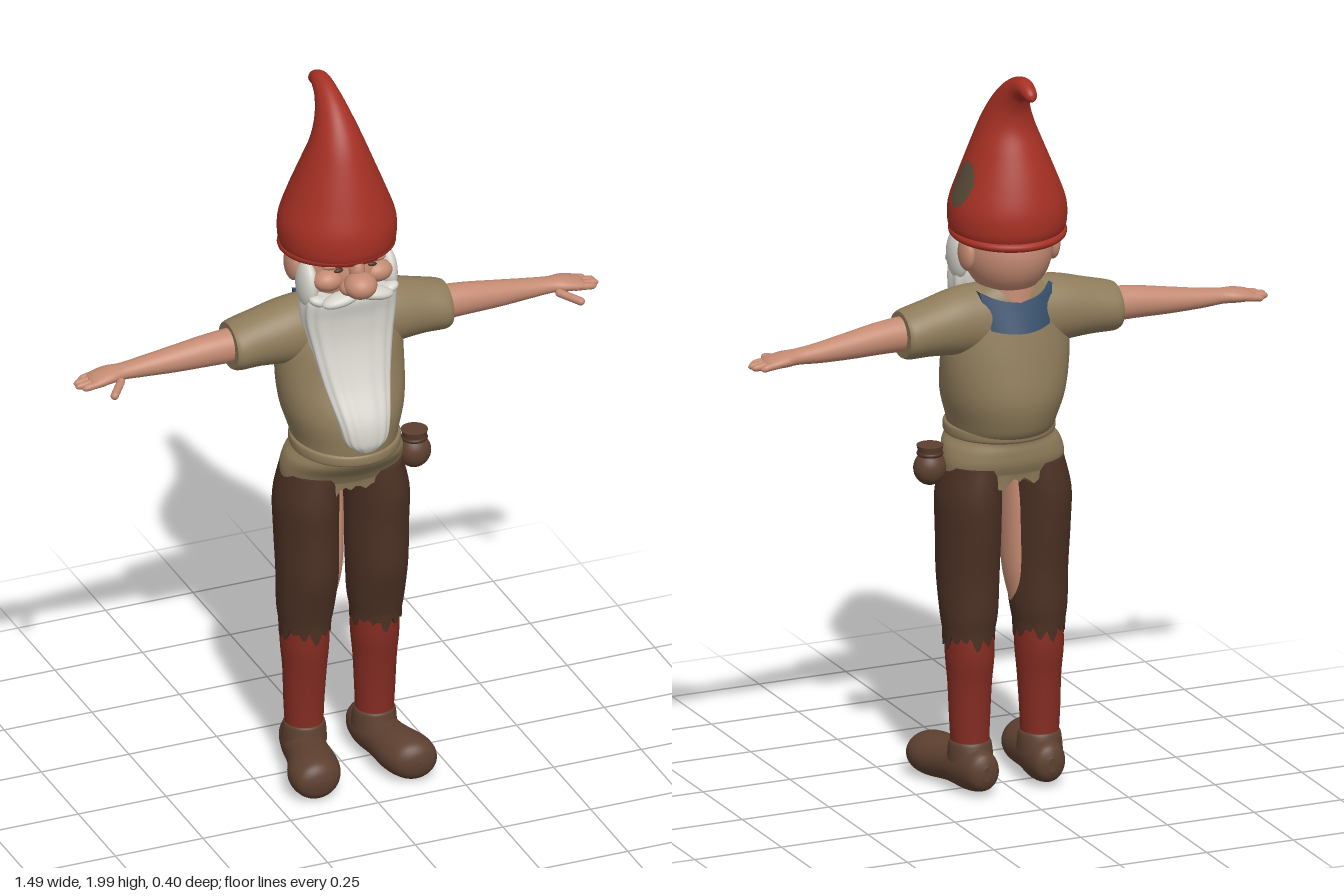
import * as THREE from 'three';

const material = (name, color) => {
  const m = new THREE.MeshStandardMaterial({ color });
  m.name = name;
  return m;
};

// Smooth skin through elliptical rings [y, cx, cz, rx, rz, tilt]; jag makes a ragged lower hem.
function loft(rings, { segs = 40, sub = 5, jag = 0, power = 1, wave = 0 } = {}) {
  const rows = (rings.length - 1) * sub;
  const tracks = [0, 1, 2, 3, 4, 5].map(c =>
    new THREE.SplineCurve(rings.map((r, i) => new THREE.Vector2(i, r[c] ?? 0))));
  const pos = [], index = [];
  const bend = v => Math.sign(v) * Math.abs(v) ** power;
  for (let i = 0; i <= rows; i++) {
    const [y, cx, cz, rx, rz, tilt] = tracks.map(t => t.getPoint(i / rows).y);
    for (let j = 0; j < segs; j++) {
      const a = j / segs * Math.PI * 2, w = 1 + wave * Math.sin(a * 14);
      const x = bend(Math.cos(a)) * rx * w, z = bend(Math.sin(a)) * rz * w;
      const drop = i === 0 ? jag * Math.abs(Math.sin(j * 0.9) + 0.5 * Math.sin(j * 0.37)) : 0;
      pos.push(cx + x, y - z * Math.sin(tilt) - drop, cz + z * Math.cos(tilt));
    }
  }
  for (let i = 0; i < rows; i++) for (let j = 0; j < segs; j++) {
    const k = (j + 1) % segs, a = i * segs + j, b = i * segs + k;
    index.push(a, a + segs, b, b, a + segs, b + segs);
  }
  // End caps with their own rims, so the edges stay crisp
  for (const row of [0, rows]) {
    const base = pos.length / 3, mid = [0, 0, 0];
    for (let j = 0; j < segs; j++) for (let c = 0; c < 3; c++) {
      const v = pos[(row * segs + j) * 3 + c];
      pos.push(v);
      mid[c] += v / segs;
    }
    pos.push(...mid);
    for (let j = 0; j < segs; j++) {
      const k = (j + 1) % segs;
      if (row === 0) index.push(base + segs, base + j, base + k);
      else index.push(base + segs, base + k, base + j);
    }
  }
  const g = new THREE.BufferGeometry();
  g.setAttribute('position', new THREE.Float32BufferAttribute(pos, 3));
  g.setIndex(index);
  g.computeVertexNormals();
  return g;
}

// Lofts lying along x [x, height, z, ry, rz] and along z [z, x, height, rx, ry]
const loftX = (rings, o) => loft(rings.map(([x, h, z, a, b]) => [x, -h, z, a, b]), o).rotateZ(-Math.PI / 2);
const loftZ = (rings, o) => loft(rings.map(([z, x, h, a, b]) => [z, x, -h, a, b]), o).rotateX(Math.PI / 2);

const blob = (x, y, z, rx, ry, rz, turn = 0) =>
  new THREE.SphereGeometry(1, 28, 20).scale(rx, ry, rz).rotateZ(turn).translate(x, y, z);

function mirrored(geometry) {
  const g = geometry.clone().scale(-1, 1, 1), ix = g.index.array;
  for (let i = 0; i < ix.length; i += 3) [ix[i], ix[i + 1]] = [ix[i + 1], ix[i]];
  g.computeVertexNormals();
  return g;
}

export function createModel() {
  const red = material('hat red', 0xa63024), sock = material('sock red', 0x842c22);
  const patch = material('patch olive', 0x594b38), tan = material('tunic tan', 0x8f7c5b);
  const skin = material('skin', 0xc48a72), white = material('beard white', 0xd6d4cc);
  const brown = material('trouser brown', 0x4c3124), leather = material('leather brown', 0x5d4030);
  const blue = material('collar blue', 0x38506c);

  const model = new THREE.Group();
  model.name = 'gnome';
  const add = (name, geometry, mat) => {
    const mesh = new THREE.Mesh(geometry, mat);
    mesh.name = name;
    model.add(mesh);
    return mesh;
  };
  const pair = (name, geometry, mat) => {
    add('left ' + name, geometry, mat);
    add('right ' + name, mirrored(geometry), mat);
  };

  // Pointed hat with a curled tip and a patch on its left side
  const hat = loft([
    [1.545, 0, -0.03, 0.147, 0.147], [1.575, 0, -0.03, 0.157, 0.158], [1.63, 0, -0.03, 0.155, 0.157],
    [1.70, 0, -0.03, 0.13, 0.137], [1.78, 0, -0.03, 0.098, 0.108, -0.05], [1.85, 0, -0.035, 0.07, 0.08, -0.2],
    [1.91, 0, -0.062, 0.047, 0.056, -0.55], [1.953, 0, -0.102, 0.032, 0.037, -0.95],
    [1.971, 0, -0.142, 0.025, 0.026, -1.4], [1.965, 0, -0.172, 0.02, 0.02, -1.8],
    [1.956, 0, -0.188, 0.014, 0.014, -2.0], [1.951, 0, -0.196, 0.002, 0.002, -2.0],
  ], { segs: 80, sub: 7 });
  const p = hat.attributes.position, plain = [], patched = [];
  for (let i = 0; i < hat.index.count; i += 3) {
    const t = [0, 1, 2].map(k => hat.index.getX(i + k));
    const [x, y, z] = ['getX', 'getY', 'getZ'].map(f => t.reduce((s, v) => s + p[f](v) / 3, 0));
    const inside = x > 0.03 && ((z + 0.035) / 0.045) ** 2 + ((y - 1.69) / 0.06) ** 2 < 1;
    (inside ? patched : plain).push(...t);
  }
  hat.setIndex([...plain, ...patched]);
  hat.addGroup(0, plain.length, 0);
  hat.addGroup(plain.length, patched.length, 1);
  add('hat', hat, [red, patch]);
  add('hat brim', new THREE.TorusGeometry(0.145, 0.012, 12, 64).rotateX(Math.PI / 2)
    .rotateX(-0.06).translate(0, 1.55, -0.033), red);

  // Head and face
  add('head', blob(0, 1.5, -0.025, 0.12, 0.13, 0.133), skin);
  add('neck', new THREE.CylinderGeometry(0.07, 0.08, 0.12, 32).translate(0, 1.39, -0.04), skin);
  add('nose', blob(0, 1.492, 0.128, 0.045, 0.036, 0.045), skin);
  add('nose bridge', blob(0, 1.525, 0.1, 0.022, 0.04, 0.03), skin);
  pair('nostril', blob(0.03, 1.484, 0.115, 0.022, 0.02, 0.025), skin);
  pair('cheek', blob(0.07, 1.497, 0.075, 0.042, 0.03, 0.035), skin);
  pair('eye', blob(0.048, 1.53, 0.096, 0.013, 0.006, 0.006, -0.1), brown);
  pair('brow', blob(0.055, 1.547, 0.083, 0.036, 0.013, 0.022, -0.15), skin);
  pair('ear', blob(0.122, 1.5, -0.042, 0.02, 0.048, 0.038), skin);

  // Beard, sideburns and moustache
  add('beard', loft([
    [1.022, 0, 0.168, 0.025, 0.02], [1.05, 0, 0.16, 0.058, 0.038], [1.11, 0, 0.14, 0.075, 0.05],
    [1.2, 0, 0.092, 0.096, 0.052], [1.3, 0, 0.062, 0.115, 0.05], [1.38, 0, 0.045, 0.13, 0.062],
    [1.435, 0, 0.045, 0.128, 0.07], [1.455, 0, 0.045, 0.11, 0.06],
  ], { segs: 84, power: 0.75, wave: 0.018 }), white);
  pair('sideburn', blob(0.113, 1.472, 0.035, 0.026, 0.068, 0.05), white);
  pair('moustache', blob(0.047, 1.452, 0.11, 0.055, 0.018, 0.03, -0.2), white);
  pair('moustache tip', blob(0.1, 1.443, 0.083, 0.028, 0.015, 0.022, 0.35), white);

  // Tunic with a ragged skirt, belt and short sleeves
  add('tunic', loft([
    [0.885, 0, -0.005, 0.166, 0.105], [0.92, 0, -0.002, 0.168, 0.122], [0.955, 0, 0.012, 0.16, 0.138],
    [0.985, 0, 0.02, 0.14, 0.145], [1.02, 0, 0.012, 0.143, 0.16], [1.1, 0, 0, 0.166, 0.167],
    [1.2, 0, -0.015, 0.176, 0.138], [1.3, 0, -0.02, 0.17, 0.112], [1.37, 0, -0.03, 0.14, 0.085],
    [1.41, 0, -0.038, 0.08, 0.062],
  ], { segs: 72, jag: 0.028 }), tan);
  add('belt', loft([
    [0.978, 0, 0.022, 0.142, 0.147, 0.03], [0.984, 0, 0.022, 0.147, 0.153, 0.03],
    [1.004, 0, 0.022, 0.147, 0.153, 0.03], [1.01, 0, 0.022, 0.142, 0.147, 0.03],
  ], { segs: 56, sub: 3 }), tan);
  pair('sleeve', loftX([
    [0.07, 1.31, -0.03, 0.1, 0.085], [0.15, 1.312, -0.03, 0.09, 0.084], [0.23, 1.305, -0.032, 0.076, 0.078],
    [0.29, 1.297, -0.032, 0.068, 0.076], [0.308, 1.296, -0.032, 0.062, 0.068],
  ]), tan);

  // Draped collar on the back, bowed round the shoulders
  const collar = new THREE.BoxGeometry(0.21, 0.11, 0.022, 16, 8, 1);
  const c = collar.attributes.position;
  for (let i = 0; i < c.count; i++) {
    const x = c.getX(i), h = c.getY(i) / 0.11 + 0.5, side = (x / 0.105) ** 2;
    c.setXYZ(i, x * (0.85 + 0.15 * h), 1.29 + h * (0.08 + 0.03 * side) + 0.012 * side * (1 - h),
      c.getZ(i) - 0.133 + 0.028 * h + 0.03 * side);
  }
  collar.computeVertexNormals();
  add('collar', collar, blue);

  // Arms and hands
  pair('arm', loftX([
    [0.24, 1.3, -0.03, 0.05, 0.047], [0.36, 1.296, -0.032, 0.044, 0.042], [0.46, 1.288, -0.036, 0.036, 0.036],
    [0.55, 1.282, -0.04, 0.027, 0.03], [0.61, 1.28, -0.04, 0.021, 0.028], [0.65, 1.278, -0.04, 0.02, 0.037],
    [0.69, 1.273, -0.038, 0.015, 0.037], [0.705, 1.27, -0.038, 0.008, 0.03],
  ]), skin);
  [[-0.065, 0.725], [-0.047, 0.743], [-0.029, 0.745], [-0.012, 0.733]].forEach(([z, tip], i) =>
    pair('finger ' + (i + 1), loftX([
      [0.67, 1.274, z, 0.011, 0.011], [0.7, 1.27, z, 0.01, 0.01], [tip - 0.01, 1.267, z, 0.009, 0.009],
      [tip, 1.266, z, 0.002, 0.002],
    ], { segs: 14 }), skin));
  const thumb = new THREE.CapsuleGeometry(0.011, 0.065, 6, 14).rotateX(Math.PI / 2).rotateY(0.65)
    .rotateX(0.15).translate(0.645, 1.264, 0.018);
  pair('thumb', thumb, skin);

  // Trousers, with bare skin showing along the inner right thigh
  pair('trouser leg', loft([
    [0.445, 0.101, -0.008, 0.068, 0.076], [0.5, 0.1, -0.006, 0.076, 0.085], [0.6, 0.099, 0.003, 0.081, 0.098],
    [0.72, 0.1, -0.002, 0.083, 0.107], [0.82, 0.1, -0.003, 0.083, 0.115], [0.91, 0.088, -0.003, 0.074, 0.108],
  ], { segs: 48, jag: 0.03 }), brown);
  add('right inner thigh', loft([
    [0.5, -0.045, 0, 0.02, 0.03], [0.6, -0.032, 0, 0.027, 0.05],
    [0.75, -0.03, 0, 0.029, 0.056], [0.88, -0.032, 0, 0.027, 0.05],
  ]), skin);

  // Socks and shoes
  pair('sock', loft([
    [0.12, 0.1, -0.014, 0.05, 0.052], [0.2, 0.101, -0.014, 0.054, 0.054], [0.3, 0.1, -0.012, 0.058, 0.062],
    [0.38, 0.1, -0.012, 0.064, 0.072], [0.46, 0.1, -0.01, 0.062, 0.07],
  ]), sock);
  pair('shoe', loftZ([
    [-0.112, 0.094, 0.07, 0.012, 0.02], [-0.095, 0.095, 0.072, 0.042, 0.05], [-0.04, 0.1, 0.07, 0.056, 0.062],
    [0.04, 0.112, 0.066, 0.06, 0.056], [0.12, 0.13, 0.063, 0.073, 0.059], [0.17, 0.138, 0.062, 0.063, 0.054],
    [0.192, 0.141, 0.061, 0.04, 0.036], [0.2, 0.142, 0.061, 0.01, 0.01],
  ]), leather);
  pair('shoe collar', loft([
    [0.09, 0.1, -0.016, 0.06, 0.068], [0.125, 0.1, -0.015, 0.058, 0.06], [0.142, 0.1, -0.014, 0.054, 0.055],
    [0.145, 0.1, -0.014, 0.046, 0.046],
  ]), leather);

  // Drawstring pouch at the left hip
  add('pouch', blob(0.202, 0.9, 0.015, 0.045, 0.047, 0.041), leather);
  add('pouch neck', new THREE.CylinderGeometry(0.036, 0.028, 0.03, 24).translate(0.202, 0.948, 0.015), leather);
  add('pouch cord', new THREE.TorusGeometry(0.03, 0.006, 10, 28).rotateX(Math.PI / 2).translate(0.202, 0.94, 0.015), brown);

  return model;
}
